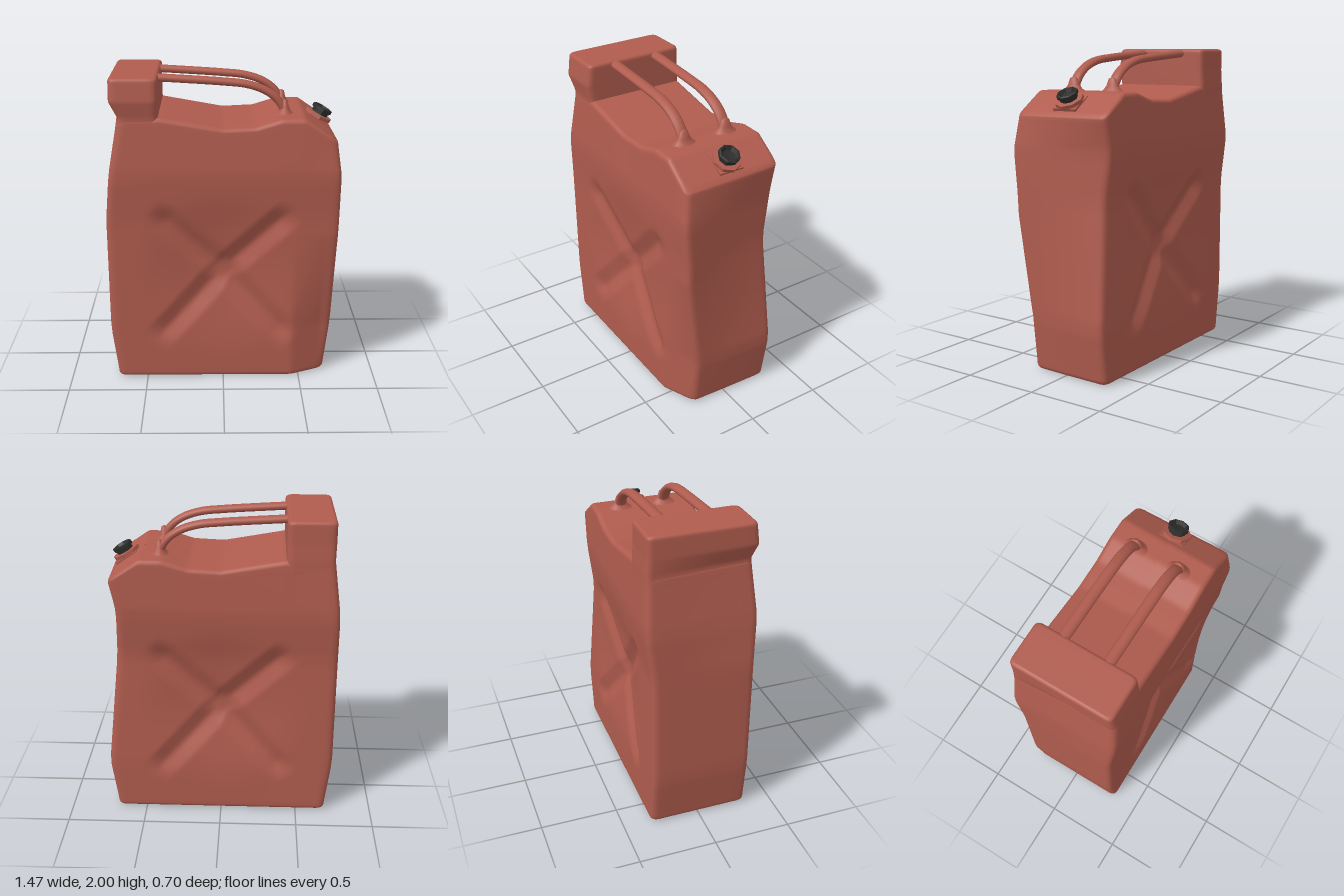
import * as THREE from 'three';

const red = new THREE.MeshStandardMaterial({ color: 0xb05c4e, side: THREE.DoubleSide });
const black = new THREE.MeshStandardMaterial({ color: 0x2c2c2a, side: THREE.DoubleSide });
const { clamp, smoothstep } = THREE.MathUtils;

// piecewise linear lookup in rows of [key, value, value, ...]
function lookup(rows, k) {
  let i = 0;
  while (i < rows.length - 2 && k > rows[i + 1][0]) i++;
  const a = rows[i], b = rows[i + 1];
  const t = clamp((k - a[0]) / (b[0] - a[0]), 0, 1);
  return a.slice(1).map((v, j) => v + (b[j + 1] - v) * t);
}

// closed loop through four corners (front left, front right, back right, back left), corners rounded
function roundedLoop(c, r, cols) {
  const P = [0, 1, 2, 3].map(i => new THREE.Vector2(c[2 * i], c[2 * i + 1]));
  const out = [];
  for (let i = 0; i < 4; i++) {
    const p = P[i], q = P[(i + 1) % 4], n = P[(i + 2) % 4];
    const dir = q.clone().sub(p).normalize(), next = n.clone().sub(q).normalize();
    const a = p.clone().addScaledVector(dir, r), b = q.clone().addScaledVector(dir, -r);
    const e = q.clone().addScaledVector(next, r);
    const count = i % 2 ? 10 : cols;
    for (let j = 0; j < count; j++) out.push(a.clone().lerp(b, j / count));
    for (let j = 0; j < 4; j++) {
      const t = j / 4, s = 1 - t;
      out.push(new THREE.Vector2(
        s * s * b.x + 2 * s * t * q.x + t * t * e.x,
        s * s * b.y + 2 * s * t * q.y + t * t * e.y));
    }
  }
  return out;
}

// rings stacked upwards, with rounded edges and closed ends
function loft(name, { rows, y0, y1, steps, cols, r, edge, soften = 0, mapY = (x, y) => y, dent = () => 0 }) {
  const rings = [[y0, edge, 0], [y0, edge, 0.5]];
  const arc = [0, 1, 2, 3].map(i => i / 4 * Math.PI / 2);
  for (const a of arc) rings.push([y0 + edge * (1 - Math.cos(a)), edge * (1 - Math.sin(a)), 1]);
  for (let i = 0; i <= steps; i++) rings.push([y0 + edge + (y1 - y0 - 2 * edge) * i / steps, 0, 1]);
  for (const a of arc.reverse()) rings.push([y1 - edge * (1 - Math.cos(a)), edge * (1 - Math.sin(a)), 1]);
  rings.push([y1, edge, 0.5], [y1, edge, 0]);

  const pos = [], idx = [];
  let n = 0;
  for (const [k, inset, zs] of rings) {
    const above = lookup(rows, k + soften);
    const c = lookup(rows, k - soften).map((v, i) => (v + above[i]) / 2);
    const loop = roundedLoop(c, r, cols);
    const cx = (c[0] + c[2]) / 2, hx = (c[2] - c[0]) / 2, hz = (c[1] - c[7]) / 2;
    n = loop.length;
    for (const p of loop) {
      const x = cx + (p.x - cx) * (1 - inset / hx), y = mapY(x, k);
      const z = p.y * (1 - inset / hz);
      pos.push(x, y, (z - Math.sign(z) * dent(x, y, z)) * zs);
    }
  }
  for (let i = 0; i < rings.length - 1; i++) for (let j = 0; j < n; j++) {
    const a = i * n + j, b = i * n + (j + 1) % n;
    idx.push(a, b, b + n, a, b + n, a + n);
  }
  const g = new THREE.BufferGeometry();
  g.setAttribute('position', new THREE.Float32BufferAttribute(pos, 3));
  g.setIndex(idx);
  g.computeVertexNormals();
  const m = new THREE.Mesh(g, red);
  m.name = name;
  return m;
}

// height of the top along x
const topLine = [[-0.74, 1.76], [-0.39, 1.76], [0, 1.69], [0.2, 1.7], [0.36, 1.75], [0.5, 1.75], [0.69, 1.62]];
const shoulder = (x, k) => k < 1.4 ? k : 1.4 + (k - 1.4) * (lookup(topLine, x)[0] - 1.4) / 0.35;

// how far the lower front right corner is pushed in, along y
const cornerDent = [[0, 0.085], [0.35, 0.085], [1, 0]];

// pressed cross in a shallow bowl on both faces, plus the pushed-in corner
function pressing(x, y, z) {
  const dx = Math.abs(x), dy = y - 0.75;
  const ex = 0.42, ey = dy > 0 ? 0.41 : -0.46, len = Math.hypot(ex, ey);
  const along = (dx * ex + dy * ey) / len, off = Math.abs(dx * ey - dy * ex) / len;
  const groove = 0.035 * clamp(1.1 - off / 0.09, 0, 1) * (1 - smoothstep(along, len - 0.1, len + 0.05));
  const d = Math.hypot(dx, dy);
  const hub = 0.04 * (1 - smoothstep(d, 0.04, 0.16));
  const bowl = 0.05 * (1 - smoothstep(d, 0, 0.58));
  const corner = lookup(cornerDent, y)[0] * clamp((x - 0.45) / 0.2, 0, 1) * clamp(z / 0.3, 0, 1);
  return Math.max(groove, hub) + bowl + corner;
}

export function createModel() {
  const model = new THREE.Group();

  // dented body: [y, then x and z of each corner]
  model.add(loft('body', {
    rows: [
      [0, -0.69, 0.33, 0.67, 0.33, 0.69, -0.32, -0.69, -0.32],
      [0.35, -0.735, 0.33, 0.71, 0.33, 0.74, -0.325, -0.735, -0.32],
      [1.1, -0.735, 0.335, 0.735, 0.33, 0.655, -0.29, -0.735, -0.32],
      [1.4, -0.705, 0.355, 0.735, 0.355, 0.645, -0.33, -0.735, -0.355],
      [1.75, -0.64, 0.325, 0.70, 0.33, 0.695, -0.325, -0.69, -0.335]],
    y0: 0, y1: 1.75, steps: 60, cols: 64, r: 0.045, edge: 0.03, soften: 0.04, mapY: shoulder, dent: pressing,
  }));

  // raised block that carries the rear end of the handle
  model.add(loft('handleBlock', {
    rows: [
      [1.66, -0.655, 0.327, -0.395, 0.327, -0.395, -0.337, -0.70, -0.337],
      [1.76, -0.64, 0.327, -0.395, 0.327, -0.395, -0.337, -0.69, -0.337],
      [1.86, -0.69, 0.347, -0.395, 0.347, -0.395, -0.33, -0.69, -0.33],
      [2, -0.69, 0.33, -0.395, 0.33, -0.395, -0.33, -0.69, -0.33]],
    y0: 1.66, y1: 2, steps: 20, cols: 12, r: 0.04, edge: 0.02,
  }));

  // twin handle bars with flared feet
  const path = new THREE.CatmullRomCurve3([
    [-0.42, 1.972], [-0.3, 1.965], [0, 1.945], [0.14, 1.93], [0.25, 1.895], [0.33, 1.84], [0.375, 1.77], [0.385, 1.7],
  ].map(([x, y]) => new THREE.Vector3(x, y, 0)));
  const barGeometry = new THREE.TubeGeometry(path, 48, 0.025, 12);
  const footGeometry = new THREE.LatheGeometry(
    [[0.085, 0], [0.06, 0.015], [0.04, 0.04], [0.026, 0.08], [0, 0.09]].map(p => new THREE.Vector2(...p)), 16);
  for (const [name, z] of [['frontHandleBar', 0.14], ['backHandleBar', -0.155]]) {
    const handle = new THREE.Group();
    handle.name = name;
    const bar = new THREE.Mesh(barGeometry, red);
    bar.name = 'bar';
    bar.scale.z = 1.45;
    const foot = new THREE.Mesh(footGeometry, red);
    foot.name = 'foot';
    foot.position.set(0.382, 1.745, 0);
    foot.scale.x = 0.65;
    handle.add(bar, foot);
    handle.position.z = z;
    model.add(handle);
  }

  // tilted spout: square base, octagonal neck and hollow cap
  const spout = new THREE.Group();
  spout.name = 'spout';
  spout.position.set(0.59, 1.665, -0.005);
  spout.rotation.z = -0.52;
  const base = new THREE.Mesh(new THREE.BoxGeometry(0.15, 0.06, 0.165), red);
  base.name = 'base';
  spout.add(base);
  const octagon = (name, profile, material) => {
    const g = new THREE.LatheGeometry(profile.map(p => new THREE.Vector2(...p)), 8).toNonIndexed();
    g.computeVertexNormals();
    const m = new THREE.Mesh(g, material);
    m.name = name;
    spout.add(m);
  };
  octagon('neck', [[0.07, 0], [0.07, 0.025], [0.088, 0.028], [0.088, 0.052], [0.05, 0.054]], red);
  octagon('cap', [[0.056, 0.045], [0.056, 0.072], [0.067, 0.075], [0.067, 0.096], [0.055, 0.1], [0.04, 0.08], [0, 0.075]], black);
  model.add(spout);
  return model;
}
